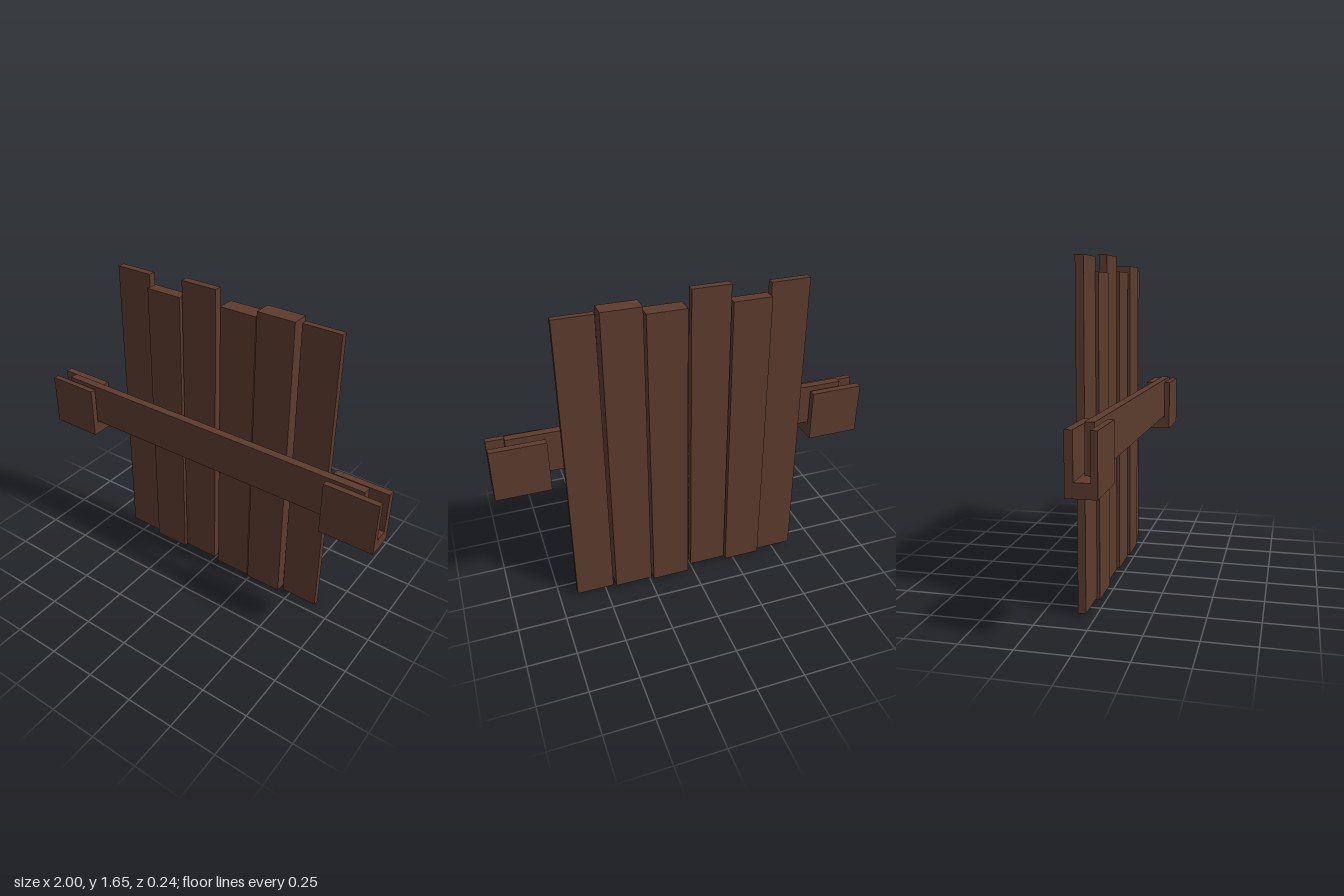
import * as THREE from 'three';

export function createModel() {
  const group = new THREE.Group();
  const wood = new THREE.MeshStandardMaterial({ color: 0x5c3b2d });
  wood.name = 'dark brown wood';

  // Box given by its extents on each axis
  function board(name, [x0, x1], [y0, y1], [z0, z1]) {
    const mesh = new THREE.Mesh(new THREE.BoxGeometry(x1 - x0, y1 - y0, z1 - z0), wood);
    mesh.position.set((x0 + x1) / 2, (y0 + y1) / 2, (z0 + z1) / 2);
    mesh.name = name;
    group.add(mesh);
    return mesh;
  }

  // Uneven upright planks: x range, y range, z range, slight lean
  const planks = [
    [[-0.603, -0.402], [0.013, 1.635], [-0.083, -0.045], 0.002],
    [[-0.404, -0.205], [0.002, 1.567], [-0.093, -0.03], 0],
    [[-0.198, 0.001], [0.014, 1.653], [-0.081, -0.041], 0],
    [[0.032, 0.231], [0.008, 1.58], [-0.121, -0.033], 0],
    [[0.242, 0.442], [0.014, 1.614], [-0.112, -0.022], 0],
    [[0.456, 0.655], [0.002, 1.601], [-0.09, -0.057], 0.002],
  ];
  planks.forEach(([x, y, z, lean], i) => {
    board(`plank${i + 1}`, x, y, z).rotation.z = -lean;
  });

  // Crossbar resting in the two brackets
  const bar = board('crossbar', [-0.902, 0.91], [0.737, 0.96], [0.04, 0.083]);
  bar.rotation.y = -0.003;

  // U-shaped brackets, open at the top and at both ends
  const profile = new THREE.Shape([
    [-0.118, 0.665], [0.02, 0.665], [0.02, 0.943], [-0.017, 0.943],
    [-0.017, 0.732], [-0.088, 0.732], [-0.088, 0.943], [-0.118, 0.943],
  ].map(([x, y]) => new THREE.Vector2(x, y)));
  const bracketGeometry = new THREE.ExtrudeGeometry(profile, { depth: 0.283, bevelEnabled: false });
  bracketGeometry.rotateY(Math.PI / 2); // profile x becomes -z, depth runs along +x
  for (const [name, x] of [['rightBracket', -1], ['leftBracket', 0.717]]) {
    const bracket = new THREE.Mesh(bracketGeometry, wood);
    bracket.position.x = x;
    bracket.name = name;
    group.add(bracket);
  }

  return group;
}
